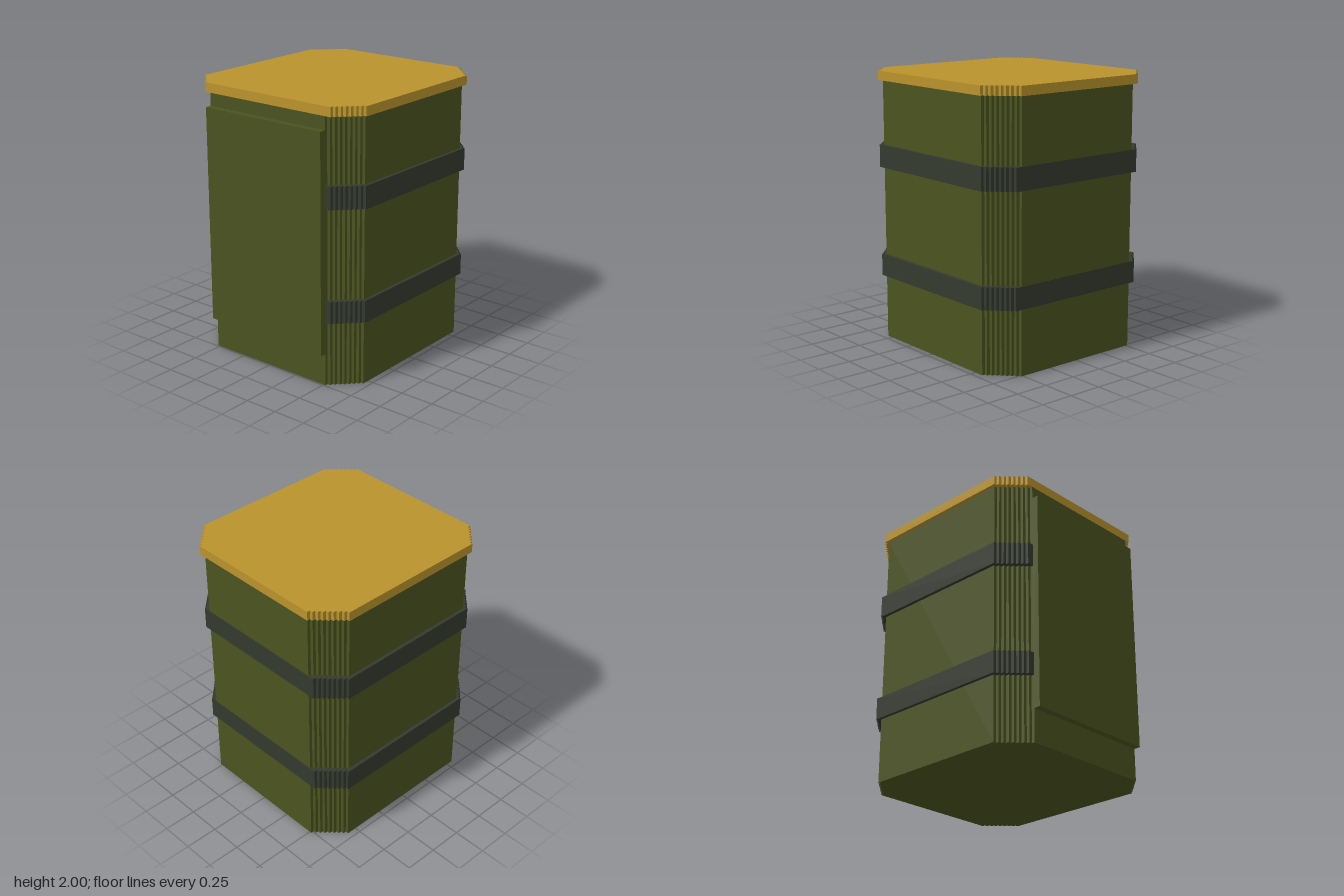
import * as THREE from 'three';

const mat = (name, color) => {
  const m = new THREE.MeshStandardMaterial({ color });
  m.name = name;
  return m;
};

// Rectangular outline whose four corners are cut by small stair steps.
// front and back are [cut size, number of steps]; shape y is -z.
function steppedOutline(halfW, zFront, zBack, front, back) {
  const half = [];
  const [fc, fn] = front, [bc, bn] = back;
  half.push([halfW - fc, zFront]);
  for (let i = 1; i <= fn; i++) {
    const z = zFront - (fc * i) / fn;
    half.push([halfW - fc + (fc * (i - 1)) / fn, z], [halfW - fc + (fc * i) / fn, z]);
  }
  half.push([halfW, zBack + bc]);
  for (let i = 1; i <= bn; i++) {
    const x = halfW - (bc * i) / bn;
    half.push([x, zBack + bc - (bc * (i - 1)) / bn], [x, zBack + bc - (bc * i) / bn]);
  }
  const mirrored = half.map(([x, z]) => [-x, z]).reverse();
  return new THREE.Shape([...half, ...mirrored].map(([x, z]) => new THREE.Vector2(x, -z)));
}

function slab(name, shape, y0, y1, material) {
  const geo = new THREE.ExtrudeGeometry(shape, { depth: y1 - y0, bevelEnabled: false });
  geo.rotateX(-Math.PI / 2).translate(0, y0, 0);
  const mesh = new THREE.Mesh(geo, material);
  mesh.name = name;
  return mesh;
}

export function createModel() {
  const green = mat('olive green', 0x4b5320);
  const gold = mat('gold', 0xba932c);
  const grey = mat('dark grey', 0x343a2f);
  const group = new THREE.Group();
  group.name = 'container';

  // Body with stepped corners
  group.add(slab('body', steppedOutline(0.705, 0.74, -0.765, [0.188, 8], [0.19, 8]), 0, 1.932, green));

  // Overhanging lid
  group.add(slab('lid', steppedOutline(0.73, 0.74, -0.788, [0.166, 7], [0.19, 8]), 1.932, 2, gold));

  // Two straps around the sides and back, nearly flush at the back
  const strap = steppedOutline(0.73, 0.74, -0.767, [0.166, 7], [0.166, 7]);
  group.add(slab('lowerStrap', strap, 0.475, 0.637, grey));
  group.add(slab('upperStrap', strap, 1.295, 1.46, grey));

  // Raised front panel, covering the straps
  const panel = new THREE.Mesh(new THREE.BoxGeometry(1.034, 1.6, 0.06), green);
  panel.name = 'frontPanel';
  panel.position.set(0, 1.038, 0.758);
  group.add(panel);

  return group;
}
